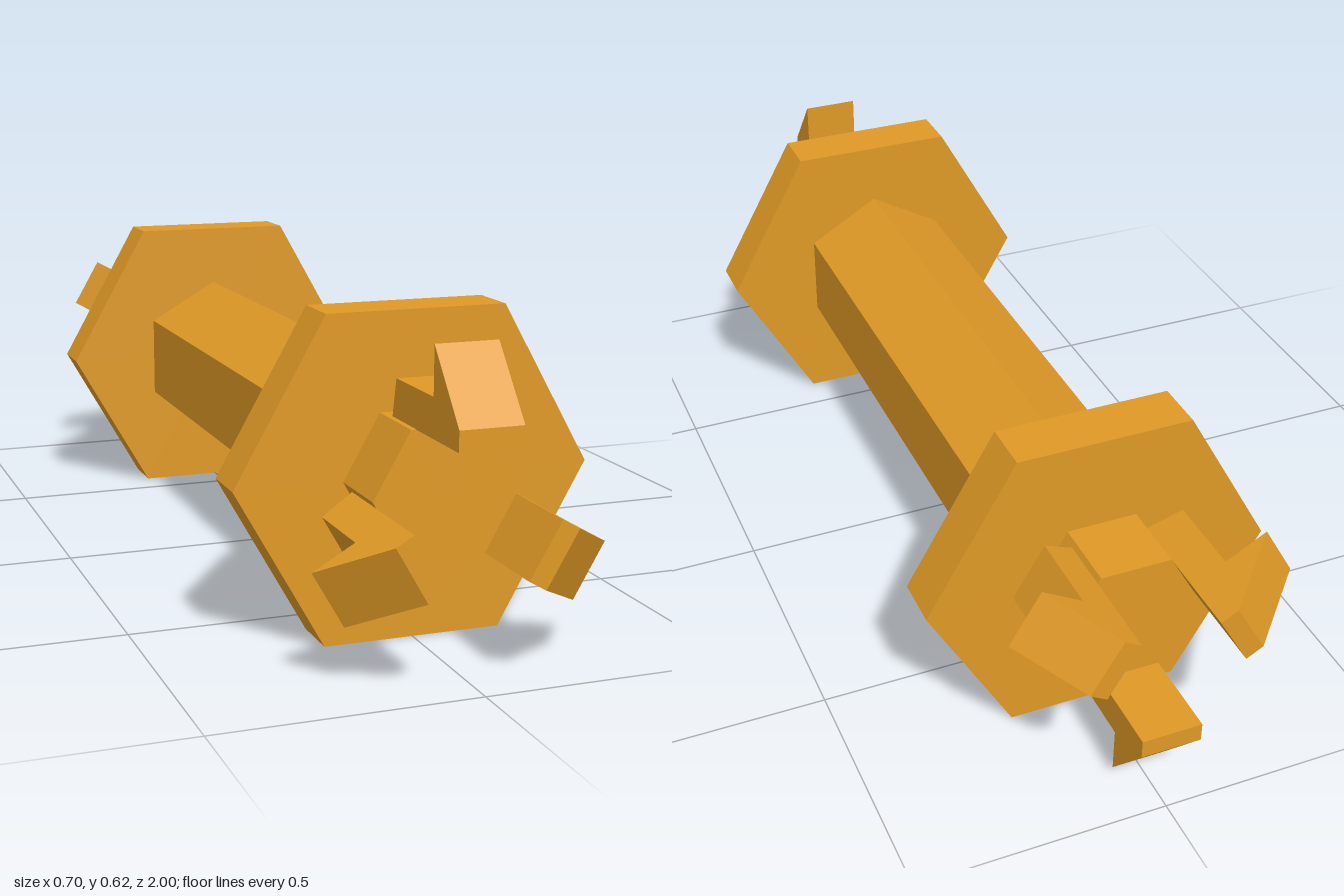
import * as THREE from 'three';

export function createModel() {
  const model = new THREE.Group();
  model.name = 'hexSpool';
  const amber = new THREE.MeshStandardMaterial({ color: 0xdf9926, flatShading: true });
  amber.name = 'amber';

  const addMesh = (parent, name, geometry) => {
    const mesh = new THREE.Mesh(geometry, amber);
    mesh.name = name;
    parent.add(mesh);
    return mesh;
  };

  // hexagonal prism lying along z, with a corner pointing up unless turned
  const hexPrism = (radius, z0, z1, turn = 0, stretchY = 1) =>
    new THREE.CylinderGeometry(radius, radius, z1 - z0, 6)
      .rotateX(Math.PI / 2)
      .rotateZ(turn)
      .scale(1, stretchY, 1)
      .translate(0, 0, (z0 + z1) / 2);

  // barbed clip: profile drawn as (z, distance from axis)
  const profile = new THREE.Shape([
    [0.717, 0.123], [1, 0.123], [1, 0.161], [0.895, 0.287], [0.895, 0.196], [0.733, 0.196],
  ].map(([z, r]) => new THREE.Vector2(z, r)));
  const clipGeometry = new THREE.ExtrudeGeometry(profile, { depth: 0.12, bevelEnabled: false })
    .translate(0, 0, -0.06)
    .rotateY(-Math.PI / 2);

  // flange, hub and three clips at one end
  const makeEnd = (name) => {
    const end = new THREE.Group();
    end.name = name;
    addMesh(end, 'flange', hexPrism(0.35, 0.58, 0.683, Math.PI / 6, 1.023));
    addMesh(end, 'hub', hexPrism(0.1405, 0.683, 0.826, Math.PI / 6, 1.017));
    for (let i = 0; i < 3; i++) {
      addMesh(end, 'clip', clipGeometry).rotation.z = i * Math.PI * 2 / 3;
    }
    model.add(end);
    return end;
  };

  addMesh(model, 'shaft', hexPrism(0.178, -0.58, 0.58));
  makeEnd('frontEnd');
  makeEnd('backEnd').rotation.x = Math.PI;

  // lift onto the ground
  model.children.forEach((part) => { part.position.y = 0.31; });
  return model;
}
